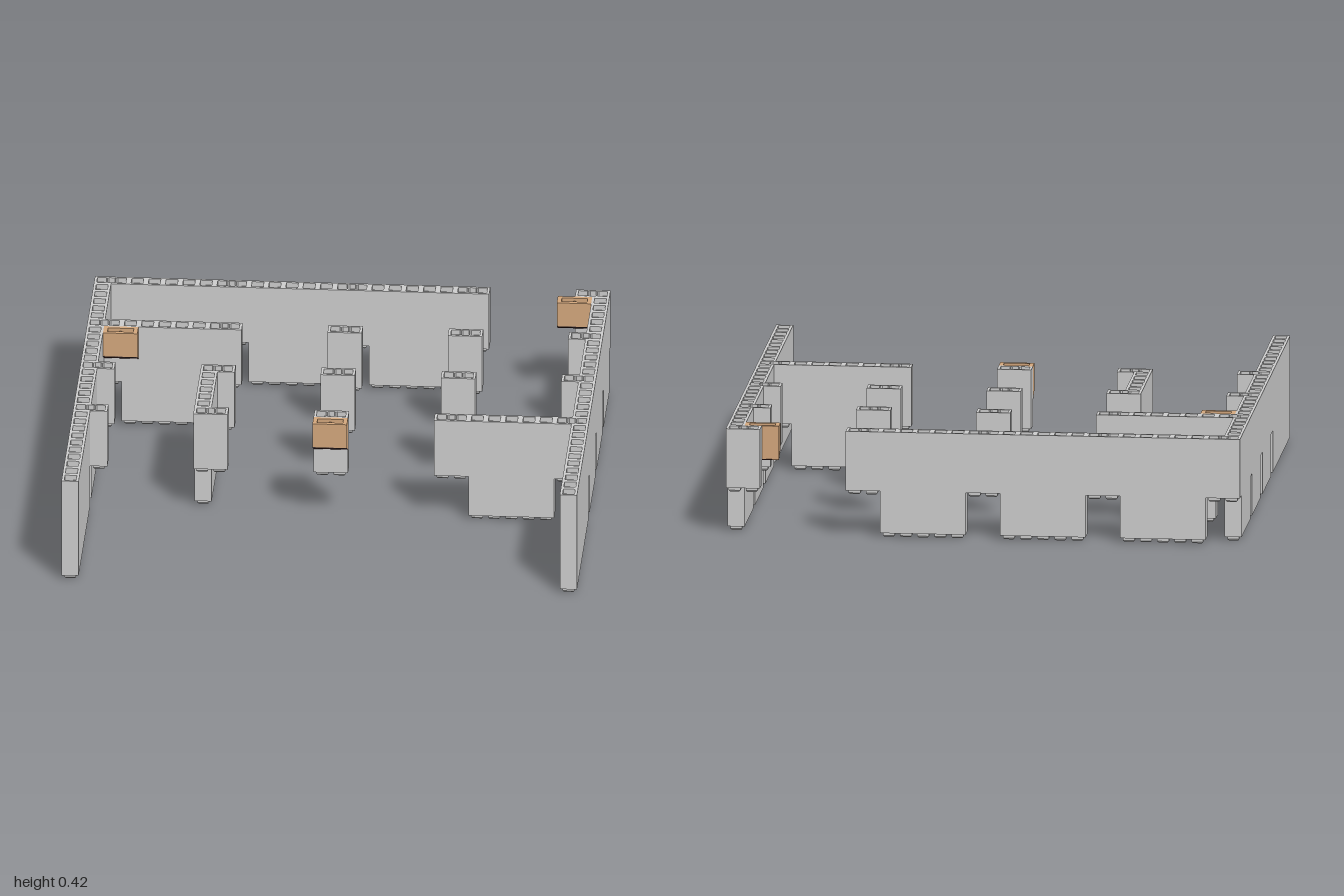
import * as THREE from 'three';
import { mergeGeometries } from 'three/addons/utils/BufferGeometryUtils.js';

const U = 1 / 15;            // grid cell
const TOP = 0.417, PEG = 0.017, LIP = 0.02;
const LOW = PEG, RAISED = 0.183; // underside of full panels and of raised connectors
const X0 = -1, Z0 = -14.5 * U;

const grey = new THREE.MeshStandardMaterial({ color: 0xcccccc, flatShading: true });
const tan = new THREE.MeshStandardMaterial({ color: 0xd2a67c, flatShading: true });
const dark = new THREE.MeshStandardMaterial({ color: 0x3a2020, flatShading: true });

function rect(w, d, Type = THREE.Shape) {
  const s = new Type();
  s.moveTo(-w / 2, -d / 2);
  s.lineTo(w / 2, -d / 2);
  s.lineTo(w / 2, d / 2);
  s.lineTo(-w / 2, d / 2);
  s.closePath();
  return s;
}

// Square socket centred on cx
function socket(cx) {
  const h = 0.023;
  return new THREE.Path([[-h, -h], [h, -h], [h, h], [-h, h]].map(([x, y]) => new THREE.Vector2(cx + x, y)));
}

// Long socket with scalloped sides, three overlapping positions
function scallopedSocket() {
  const pts = [], h = 0.023, flat = 0.011, notch = 0.0175;
  for (const side of [-1, 1]) {
    for (let k = -1; k <= 1; k++) {
      const c = -side * k * U / 2, dir = -side;
      const a = k === -1 ? h : flat, b = k === 1 ? h : flat;
      pts.push(new THREE.Vector2(c - dir * a, side * h), new THREE.Vector2(c + dir * b, side * h));
      if (k < 1) pts.push(new THREE.Vector2(c + dir * U / 4, side * notch));
    }
  }
  // order the two sides as one loop
  const lower = pts.filter(p => p.y < 0).sort((a, b) => a.x - b.x);
  const upper = pts.filter(p => p.y > 0).sort((a, b) => b.x - a.x);
  return new THREE.Path([...lower, ...upper]);
}

// Horizontal slab with holes, its underside at y
function slab(shape, y, height) {
  return new THREE.ExtrudeGeometry(shape, { depth: height, bevelEnabled: false })
    .rotateX(-Math.PI / 2).translate(0, y, 0);
}

// Square peg with a tapered foot
function pegGeometry(x, y) {
  const r = Math.SQRT2;
  const profile = [[0, 0], [0.018 * r, 0], [0.023 * r, 0.006], [0.023 * r, PEG]]
    .map(p => new THREE.Vector2(...p));
  return new THREE.LatheGeometry(profile, 4, Math.PI / 4).translate(x, y, 0);
}

// One wall block, n cells long: body, socketed rim and pegs below
function blockGeometry(n, bottom, scalloped) {
  const h = TOP - LIP - bottom;
  const rim = rect(n * U, U);
  const parts = [new THREE.BoxGeometry(n * U, h, U).translate(0, bottom + h / 2, 0)];
  for (let k = 0; k < n; k++) {
    const x = (k - (n - 1) / 2) * U;
    if (!scalloped) rim.holes.push(socket(x));
    parts.push(pegGeometry(x, bottom - PEG));
  }
  if (scalloped) rim.holes.push(scallopedSocket());
  parts.push(slab(rim, TOP - LIP, LIP));
  const flat = parts.map(g => (g.index ? g.toNonIndexed() : g));
  return mergeGeometries(flat);
}

export function createModel() {
  const model = new THREE.Group();
  model.name = 'modularWalls';

  const add = (name, geo, i, j, n, alongZ) => {
    const m = new THREE.Mesh(geo, grey);
    m.name = name;
    m.position.set(X0 + (i + (alongZ ? 0.5 : n / 2)) * U, 0, Z0 + (j + (alongZ ? n / 2 : 0.5)) * U);
    if (alongZ) m.rotation.y = Math.PI / 2;
    model.add(m);
  };

  // Raised connectors on a regular grid
  const connector = blockGeometry(2, RAISED, true);
  for (const j of [0, 6, 12, 18])
    for (const i of [0, 7, 14, 21, 28]) add('connector', connector, i, j, 2, false);

  // Five-cell panels along the back
  const panel = blockGeometry(5, LOW, false);
  for (const i of [9, 16]) add('backPanel', panel, i, 0, 5, false);

  // Side walls and the inner partition
  for (const i of [0, 29])
    for (const j of [1, 7, 13, 19, 24]) add('sidePanel', panel, i, j, 5, true);
  add('partitionPanel', panel, 7, 13, 5, true);

  // Runs of single columns
  const column = blockGeometry(1, LOW, false);
  for (const [i0, j] of [[2, 0], [2, 6], [23, 18]])
    for (let k = 0; k < 5; k++) add('column', column, i0 + k, j, 1, false);

  // Wall-hung boxes with a sloping underside
  const w = 2 * U, d = 0.064, yFront = 0.318, yBack = 0.285;
  const profile = new THREE.Shape([
    [0, yBack], [d, yFront], [d, TOP - LIP], [0, TOP - LIP],
  ].map(p => new THREE.Vector2(...p)));
  const body = new THREE.ExtrudeGeometry(profile, { depth: w, bevelEnabled: false })
    .rotateY(-Math.PI / 2).translate(w / 2, 0, 0);
  const rim = rect(w, d);
  rim.holes.push(rect(0.1, 0.032, THREE.Path));
  const rimGeo = slab(rim, TOP - LIP, LIP).translate(0, 0, d / 2);
  const stud = new THREE.CylinderGeometry(0.011, 0.011, 0.01, 16).translate(0, TOP - LIP + 0.005, d / 2);
  const slope = Math.atan2(yFront - yBack, d);
  const plate = new THREE.BoxGeometry(w, 0.003, Math.hypot(d, yFront - yBack))
    .rotateX(-slope).translate(0, (yFront + yBack) / 2 - 0.001, d / 2);
  for (const [i, j] of [[14, 19], [1, 7], [27, 1]]) {
    const box = new THREE.Group();
    box.name = 'hangingBox';
    for (const [name, geo, mat] of [['boxBody', body, tan], ['boxRim', rimGeo, tan],
      ['boxStud', stud, tan], ['boxUnderside', plate, dark]]) {
      const m = new THREE.Mesh(geo, mat);
      m.name = name;
      box.add(m);
    }
    box.position.set(X0 + (i + 1) * U, 0, Z0 + j * U);
    model.add(box);
  }
  return model;
}
